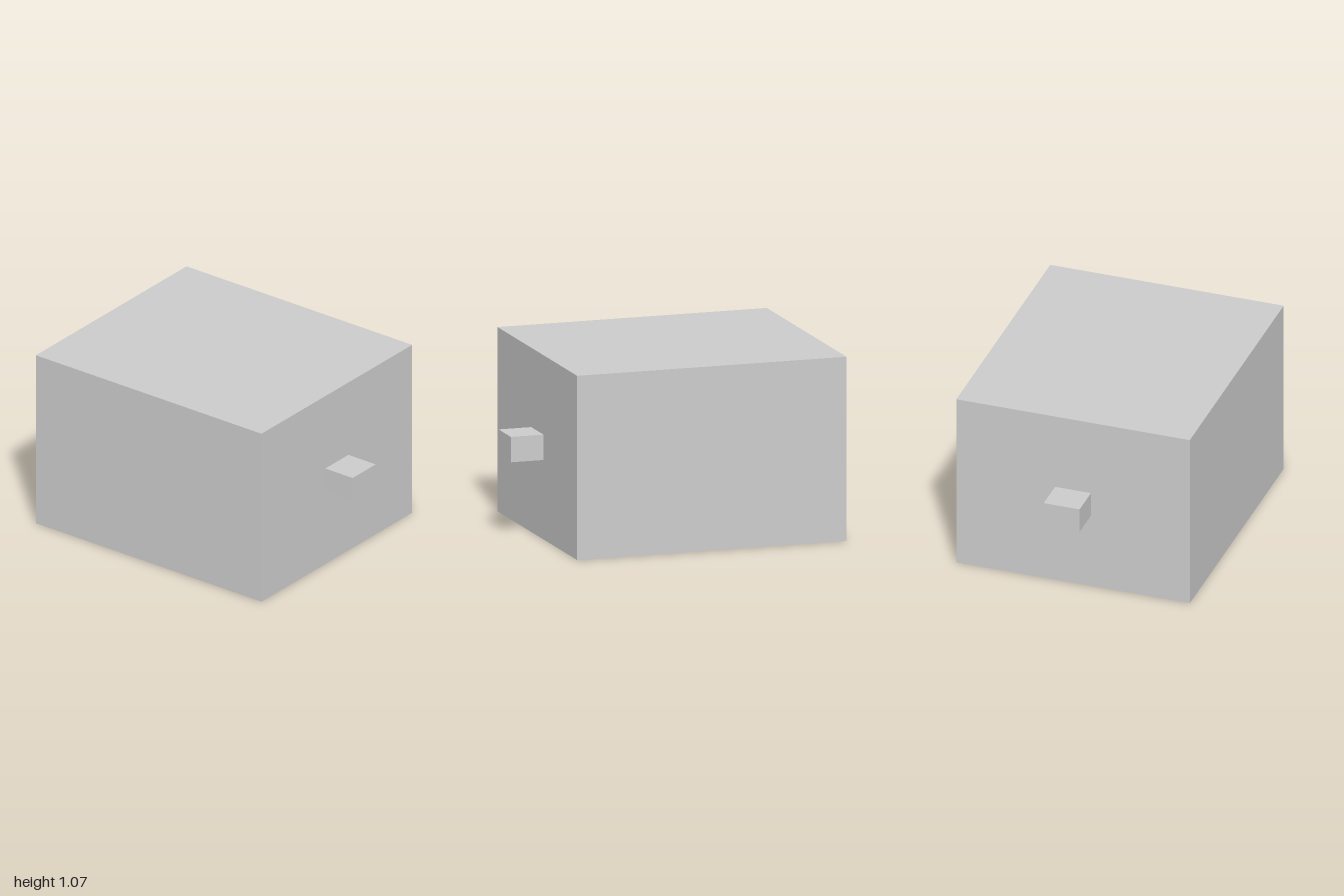
import * as THREE from 'three';

export function createModel() {
  const model = new THREE.Group();
  const material = new THREE.MeshStandardMaterial({ color: 0xcccccc, flatShading: true });
  const width = 1.4, height = 1.066, depth = 1.61;

  function addBox(name, w, h, d, z) {
    const mesh = new THREE.Mesh(new THREE.BoxGeometry(w, h, d), material);
    mesh.name = name;
    mesh.position.set(0, height / 2, z);
    model.add(mesh);
  }

  // Main block
  addBox('body', width, height, depth, 0);

  // Small tabs centred on the front and back faces, reaching z = 1 and z = -1
  const tabLength = 1 - depth / 2;
  for (const [name, side] of [['frontTab', 1], ['backTab', -1]]) {
    addBox(name, 0.215, 0.147, tabLength, side * (1 - tabLength / 2));
  }

  return model;
}
